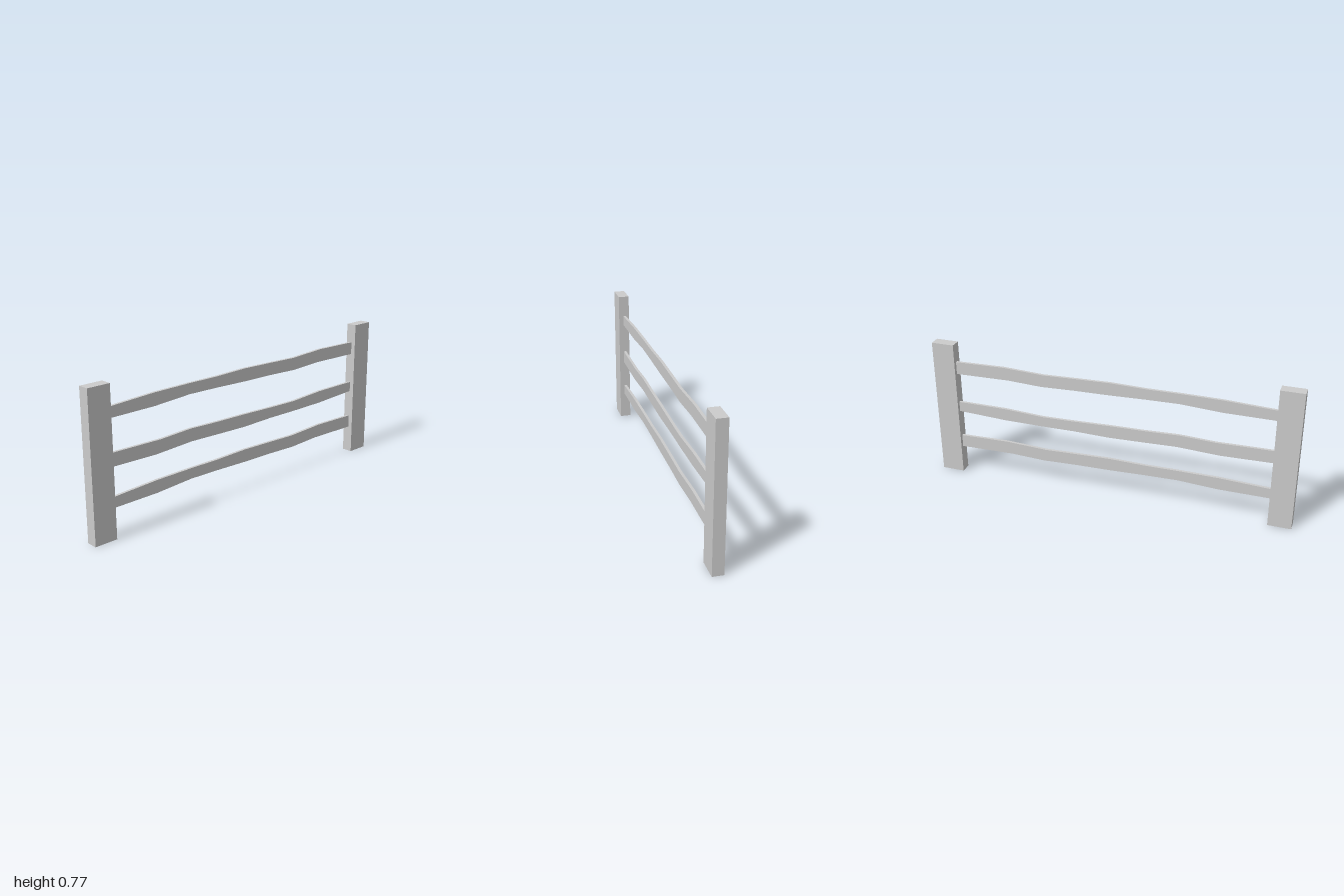
import * as THREE from 'three';

const material = new THREE.MeshStandardMaterial({ color: 0xcccccc, flatShading: true });

const POST_W = 0.125, POST_H = 0.775, POST_D = 0.06;
const RAIL_BACK = -0.01, RAIL_THICK = 0.015;

// Uneven hand-hewn rail outline, heights measured from the rail's middle line
const upperEdge = [[-0.875, 0.021], [-0.6, 0.034], [-0.38, 0.036], [-0.2, 0.035], [0, 0.04],
  [0.2, 0.035], [0.37, 0.03], [0.6, 0.041], [0.875, 0.035]];
const lowerEdge = [[-0.875, -0.035], [-0.6, -0.034], [-0.38, -0.021], [-0.2, -0.024], [0, -0.03],
  [0.2, -0.033], [0.38, -0.039], [0.57, -0.03], [0.875, -0.035]];

function railGeometry() {
  const outline = [...lowerEdge, ...upperEdge.slice().reverse()].map(([x, y]) => new THREE.Vector2(x, y));
  return new THREE.ExtrudeGeometry(new THREE.Shape(outline), { depth: RAIL_THICK, bevelEnabled: false })
    .translate(0, 0, RAIL_BACK);
}

export function createModel() {
  const fence = new THREE.Group();
  fence.name = 'fence';

  // Upright posts at both ends
  const postGeometry = new THREE.BoxGeometry(POST_W, POST_H, POST_D);
  for (const [name, side] of [['leftPost', 1], ['rightPost', -1]]) {
    const post = new THREE.Mesh(postGeometry, material);
    post.name = name;
    post.position.set(side * (1 - POST_W / 2), POST_H / 2, 0);
    fence.add(post);
  }

  // Three rails of one shape, the middle one turned end for end
  const rail = railGeometry();
  for (const [name, y, turn] of [['bottomRail', 0.186, 0], ['middleRail', 0.395, Math.PI], ['topRail', 0.635, 0]]) {
    const mesh = new THREE.Mesh(rail, material);
    mesh.name = name;
    mesh.position.y = y;
    mesh.rotation.z = turn;
    fence.add(mesh);
  }
  return fence;
}
